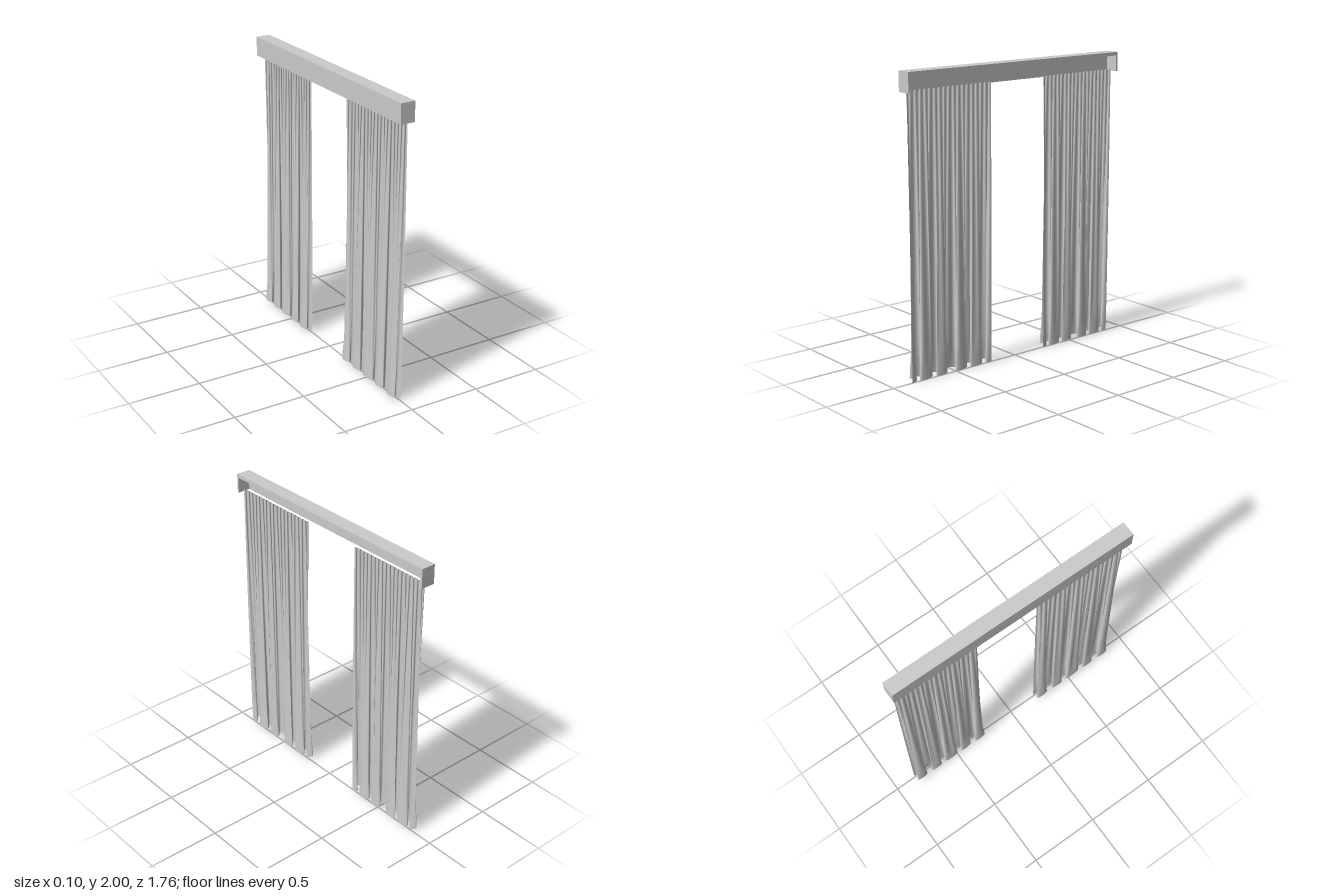
import * as THREE from 'three';

const material = new THREE.MeshStandardMaterial({ color: 0xcccccc });
const cloth = new THREE.MeshStandardMaterial({ color: 0xcccccc, side: THREE.DoubleSide });

function board(name, size, position) {
  const mesh = new THREE.Mesh(new THREE.BoxGeometry(...size), material);
  mesh.name = name;
  mesh.position.set(...position);
  return mesh;
}

// Hanging cloth: fine pleats at the heading merge into a few deep folds at the hem
function curtain(name, zStart, zEnd) {
  const TOP = 1.88, PLEATS = 18, FOLDS = 5;
  const geometry = new THREE.PlaneGeometry(1, 1, 270, 48);
  const p = geometry.attributes.position;
  const width = zEnd - zStart;
  for (let i = 0; i < p.count; i++) {
    const u = p.getX(i) + 0.5;
    const t = 0.5 - p.getY(i); // 0 at the heading, 1 at the hem
    const pleat = 2 * Math.PI * PLEATS * u;
    // uneven spacing keeps the deep folds from looking mechanical
    const fold = 2 * Math.PI * FOLDS * (u + 0.022 * Math.sin(2 * Math.PI * u) + 0.012 * Math.sin(6 * Math.PI * u));
    const fine = Math.pow(1 - t, 1.1);
    const flare = THREE.MathUtils.smoothstep(t, 0.88, 1);
    const deep = 0.85 * t + 0.15 * flare;
    const middle = Math.sin(Math.PI * t);

    const x = -0.017 * deep
      + (0.003 + 0.006 * fine) * Math.cos(pleat) * (1 - 0.8 * flare)
      + 0.003 * middle * Math.cos(pleat / 2)
      + 0.025 * deep * Math.cos(fold);
    const edge = 0.012 * t * (1 - 2 * u);
    const z = zStart + width * u + edge * Math.sign(width) * 0.5
      + Math.sign(width) * ((0.001 + 0.005 * fine) * Math.sin(2 * pleat) * (1 - flare)
      + (0.022 * t + 0.006 * flare) * Math.sin(2 * fold));
    const hem = 0.012 * (1 - Math.cos(fold + 0.7)) * t ** 6;
    const scallop = 0.004 * Math.cos(pleat) * (1 - t) ** 8;
    p.setXYZ(i, x, TOP * (1 - t) + hem + scallop, z);
  }
  geometry.computeVertexNormals();
  const mesh = new THREE.Mesh(geometry, cloth);
  mesh.name = name;
  return mesh;
}

export function createModel() {
  const model = new THREE.Group();
  model.name = 'curtains';

  // Pelmet box, open below and towards +x
  const pelmet = new THREE.Group();
  pelmet.name = 'pelmet';
  const T = 0.012, LENGTH = 1.76, LOW = 1.868, HIGH = 2 - 0.024;
  pelmet.add(board('pelmetTop', [0.1, 0.024, LENGTH], [0, 1.988, 0]));
  pelmet.add(board('pelmetFascia', [T, HIGH - LOW, LENGTH - 2 * T], [-0.05 + T / 2, (LOW + HIGH) / 2, 0]));
  for (const s of [1, -1]) {
    pelmet.add(board(s > 0 ? 'pelmetFrontEnd' : 'pelmetBackEnd',
      [0.1, HIGH - LOW, T], [0, (LOW + HIGH) / 2, s * (LENGTH - T) / 2]));
  }
  model.add(pelmet);

  // The two drawn curtain panels
  model.add(curtain('frontCurtain', 0.865, 0.205));
  model.add(curtain('backCurtain', -0.245, -0.855));
  return model;
}
